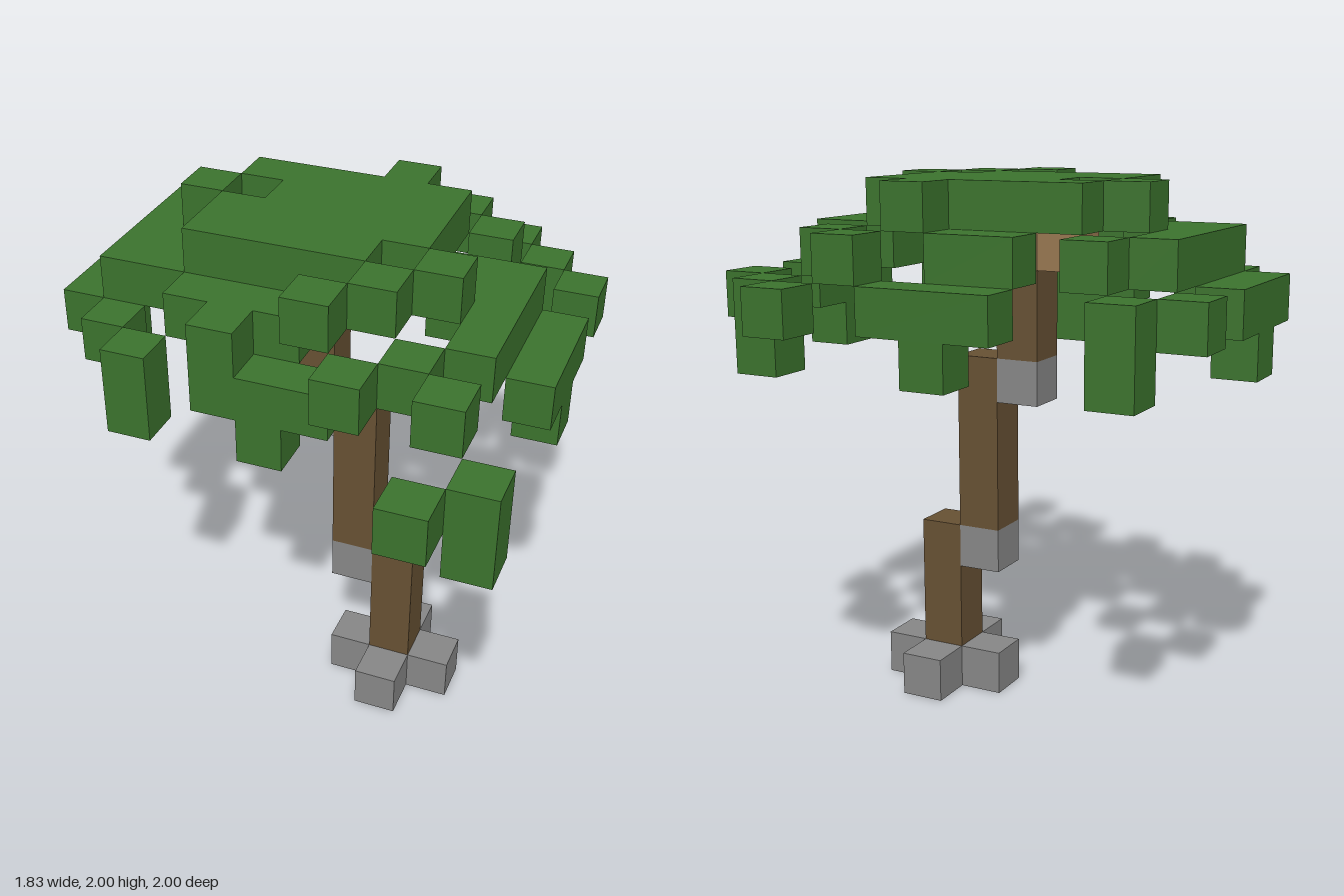
import * as THREE from 'three';

const U = 1 / 6; // size of one block

function material(name, color) {
  const m = new THREE.MeshStandardMaterial({ color });
  m.name = name;
  return m;
}

export function createModel() {
  const leaf = material('leaf green', 0x3b722d);
  const bark = material('bark brown', 0x665033);
  const stone = material('joint grey', 0x868686);
  const heart = material('crown wood', 0x967650);

  const model = new THREE.Group();
  model.name = 'blockPalm';

  // Each block run is [column, level, row, width, height, depth] in block units
  function part(name, mat, runs) {
    const group = new THREE.Group();
    group.name = name;
    for (const [i, j, k, w = 1, h = 1, d = 1] of runs) {
      const mesh = new THREE.Mesh(new THREE.BoxGeometry(w * U, h * U, d * U), mat);
      mesh.name = name + 'Block';
      mesh.position.set((i + w / 2 - 5.5) * U, (j + h / 2) * U, (k + d / 2 - 6) * U);
      group.add(mesh);
    }
    model.add(group);
  }

  // Stepped trunk with its foot and joints
  part('trunk', bark, [[7, 0, 5, 1, 4, 1], [6, 4, 5, 1, 4, 1], [5, 8, 5, 1, 2, 1]]);
  part('foot', stone, [[6, 0, 5], [8, 0, 5], [7, 0, 4], [7, 0, 6]]);
  part('trunkJoint', stone, [[6, 3, 5], [5, 7, 5]]);
  part('crownCore', heart, [[4, 10, 5, 3, 1, 1], [5, 10, 4], [5, 10, 6]]);

  // Flat top of the crown, with gaps near two corners
  part('crownTop', leaf, [
    [3, 11, 3, 5, 1, 1], [4, 11, 4, 4, 1, 1], [3, 11, 5, 5, 1, 1], [3, 11, 6, 4, 1, 1],
  ]);

  // Broad drooping fronds on the four sides
  part('leftFrond', leaf, [
    [8, 10, 4, 1, 1, 2], [9, 10, 4, 1, 1, 4], [10, 9, 4, 1, 1, 3], [10, 8, 5],
  ]);
  part('rightFrond', leaf, [
    [2, 10, 5, 1, 1, 2], [1, 10, 3, 1, 1, 4], [0, 9, 4, 1, 1, 3], [0, 8, 5],
  ]);
  part('backFrond', leaf, [[4, 10, 2, 2, 1, 1], [4, 9, 1, 3, 1, 1], [5, 8, 1]]);
  part('frontFrond', leaf, [[3, 10, 7, 3, 1, 1], [4, 10, 8], [4, 9, 8, 3, 1, 1], [5, 8, 8]]);

  // Diagonal fronds, touching corner to corner
  part('frontLeftFrond', leaf, [
    [7, 11, 7], [8, 11, 6], [6, 11, 8], [8, 10, 8], [7, 10, 9],
    [9, 10, 9], [10, 8, 10, 1, 2, 1], [9, 9, 11],
  ]);
  part('backLeftFrond', leaf, [
    [6, 11, 2], [8, 10, 2], [7, 10, 1], [9, 8, 1, 1, 2, 1], [8, 9, 0], [10, 9, 2],
  ]);
  part('backRightFrond', leaf, [[2, 11, 4], [2, 10, 2], [1, 8, 1, 1, 2, 1], [0, 9, 2]]);
  part('frontRightFrond', leaf, [[2, 8, 8, 1, 2, 1], [1, 9, 7]]);

  return model;
}
